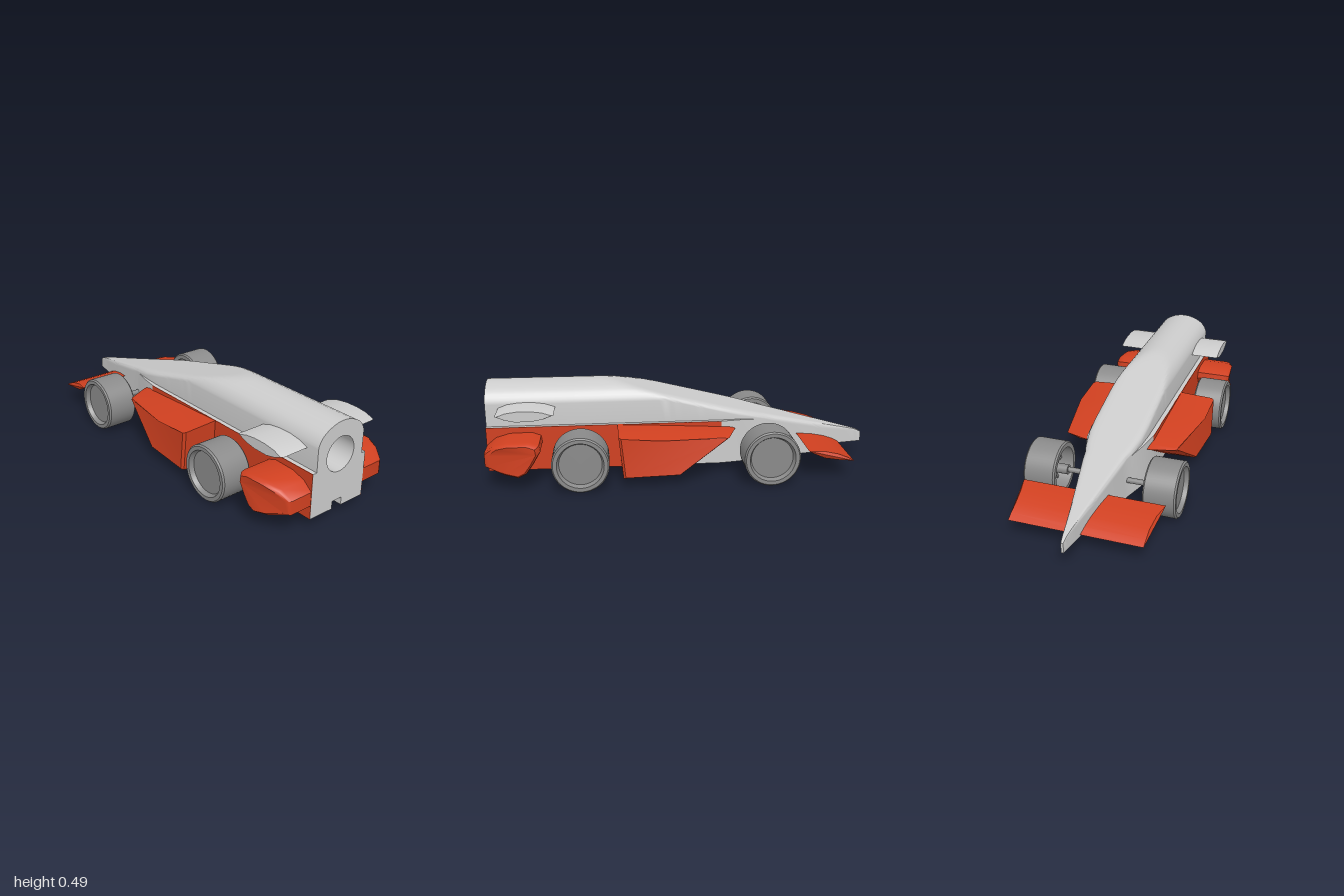
import * as THREE from 'three';
import { toCreasedNormals } from 'three/addons/utils/BufferGeometryUtils.js';

const grey = new THREE.MeshStandardMaterial({ color: 0xcccccc });
const dark = new THREE.MeshStandardMaterial({ color: 0x8a8a8a });
const red = new THREE.MeshStandardMaterial({ color: 0xd04020 });
const bore = new THREE.MeshStandardMaterial({ color: 0xcccccc, side: THREE.DoubleSide });

// Skin a row of rings that share one point count; fan caps close the ends.
function loft(rings, crease = 0.5, capEnd = true) {
  const n = rings[0].length, last = (rings.length - 1) * n, idx = [];
  for (let i = 0; i < rings.length - 1; i++) {
    for (let j = 0; j < n; j++) {
      const a = i * n + j, b = i * n + (j + 1) % n;
      idx.push(a, b, b + n, a, b + n, a + n);
    }
  }
  for (let j = 1; j < n - 1; j++) {
    idx.push(0, j + 1, j);
    if (capEnd) idx.push(last, last + j, last + j + 1);
  }
  const g = new THREE.BufferGeometry();
  g.setAttribute('position', new THREE.Float32BufferAttribute(rings.flat(2), 3));
  g.setIndex(idx);
  return toCreasedNormals(g, crease);
}

// Mirror rings across the centre plane, keeping the faces outward.
const onSide = (rings, s) => s > 0 ? rings
  : rings.map(r => r.map(([x, y, z]) => [x, y, -z])).reverse();

// Linear interpolation through [x, value] pairs.
function along(x, table) {
  for (let i = 1; i < table.length; i++) {
    const [x0, a] = table[i - 1], [x1, b] = table[i];
    if (x <= x1) return a + (b - a) * (x - x0) / (x1 - x0);
  }
  return table[table.length - 1][1];
}

const UPPER = [[-1, 0.006], [-0.9, 0.023], [-0.5, 0.1], [-0.44, 0.108], [-0.4, 0.121], [-0.3, 0.14], [-0.2, 0.145], [1, 0.145]];
const LOWER = [[-1, 0.006], [-0.9, 0.023], [-0.5, 0.1], [-0.44, 0.108], [-0.4, 0.121], [-0.3, 0.152], [-0.2, 0.168], [1, 0.168]];
const FLOOR = [[-1, 0.09], [-0.79, 0.09], [-0.74, 0.078], [-0.71, 0.05], [1, 0.05]];

// Body cross-section: grooved floor, side ledge and an arched roof cut by the sloping deck.
function bodyRing(x) {
  const wu = along(x, UPPER), wl = along(x, LOWER), yb = along(x, FLOOR);
  const deck = 0.165 + 0.246 * (x + 0.95) - 4 * Math.max(0, -0.95 - x) ** 2;
  const groove = Math.min(0.03, wl * 0.5), gy = Math.max(yb, 0.09);
  const fillet = Math.min(0.025, (deck - yb) * 0.4, wu * 0.6);
  const roof = u => {
    const arch = 0.49 - 0.183 + Math.sqrt(0.183 ** 2 - (wu * u) ** 2);
    const h = Math.max(0, 1 - Math.abs(arch - deck) / 0.015);
    const e = Math.max(0, (u - 0.75) / 0.25);
    return Math.min(arch, deck) - h * h * 0.00375 - fillet * (1 - Math.sqrt(1 - e * e));
  };
  const ledge = Math.min(0.28, roof(1) - 0.005);
  const half = [[0, gy], [groove, gy], [groove, yb], [wl, yb], [wl, ledge], [wu, ledge]];
  for (const u of [1, 0.99, 0.96, 0.91, 0.84, 0.75, 0.6, 0.4, 0.2, 0]) half.push([wu * u, roof(u)]);
  const right = half.map(([z, y]) => [x, y, -z]);
  const left = half.slice(1, -1).reverse().map(([z, y]) => [x, y, z]);
  return [...right, ...left];
}

// Shrink a side outline towards its middle and give each corner a depth.
function layer(outline, inset, depth) {
  const cx = outline.reduce((t, p) => t + p[0], 0) / outline.length;
  const cy = outline.reduce((t, p) => t + p[1], 0) / outline.length;
  return outline.map(([x, y]) => [cx + (x - cx) * (1 - inset), cy + (y - cy) * (1 - inset), depth(x)]);
}

export function createModel() {
  const model = new THREE.Group();
  const add = (name, geometry, material, parent = model) => {
    const mesh = new THREE.Mesh(geometry, material);
    mesh.name = name;
    parent.add(mesh);
    return mesh;
  };

  // Body shell, from nose to tail
  const xs = [-1, -0.985, -0.97, -0.95, -0.9, -0.79, -0.765, -0.74, -0.725, -0.71, -0.5, -0.44, -0.4, -0.3, -0.2];
  for (let x = -0.15; x < 0.5; x += 0.03) xs.push(x);
  xs.push(0.55, 1);
  add('body', loft(xs.map(bodyRing), 0.5, false), grey);

  // Tail face with a round bore
  const tail = new THREE.Shape(bodyRing(1).map(([, y, z]) => new THREE.Vector2(-z, y)));
  tail.holes.push(new THREE.Path().absarc(0, 0.325, 0.087, 0, Math.PI * 2, true));
  add('tailFace', new THREE.ShapeGeometry(tail, 24).rotateY(Math.PI / 2).translate(1, 0, 0), grey);
  add('boreWall', new THREE.CylinderGeometry(0.087, 0.087, 0.5, 48, 1, true).rotateZ(Math.PI / 2).translate(0.75, 0.325, 0), bore);
  add('boreEnd', new THREE.CircleGeometry(0.087, 48).rotateY(Math.PI / 2).translate(0.5, 0.325, 0), grey);

  // Front wing: a curved blade with flared trailing tips
  const blade = [[-0.865, 0.1], [-0.78, 0.108], [-0.71, 0.122], [-0.66, 0.146], [-0.62, 0.17], [-0.7, 0.16], [-0.78, 0.14], [-0.83, 0.12]];
  const flare = x => 0.33 + 0.03 * Math.max(0, (x + 0.8) / 0.18) ** 2;
  add('frontWing', loft([-1, 1].map(s => blade.map(([x, y]) => [x, y, s * flare(x)])), 0.7), red);

  // Rear wing: a lens section with softened tips
  const lens = [[0.65, 0.377], [0.7, 0.357], [0.76, 0.347], [0.84, 0.347], [0.89, 0.358], [0.935, 0.377], [0.89, 0.394], [0.83, 0.402], [0.76, 0.402], [0.7, 0.394]];
  add('rearWing', loft([
    layer(lens, 0.06, () => -0.296), layer(lens, 0, () => -0.288),
    layer(lens, 0, () => 0.288), layer(lens, 0.06, () => 0.296),
  ], 0.5), grey);

  // Side outlines of the pods
  const podInner = [[-0.27, 0.24], [0.03, 0.05], [0.32, 0.05], [0.338, 0.279], [0.1, 0.268], [-0.23, 0.25]];
  const podOuter = [[-0.225, 0.232], [0.03, 0.055], [0.315, 0.055], [0.336, 0.27], [0.13, 0.253], [-0.21, 0.238]];
  const podDepth = x => along(x, [[-0.3, 0.295], [-0.21, 0.3], [0.13, 0.36], [0.34, 0.36]]);
  const tailPod = [[0.72, 0.2], [0.755, 0.14], [0.79, 0.09], [0.83, 0.07], [0.9, 0.085], [0.998, 0.12], [0.998, 0.19], [0.95, 0.23], [0.88, 0.25], [0.77, 0.252], [0.725, 0.235]];
  const taper = (z, k) => x => z - k * Math.max(0, (x - 0.72) / 0.28) ** 3;

  // Painted flank panel
  const flank = [[-0.2, 0.2], [0.04, 0.05], [1, 0.05], [1, 0.28], [-0.2, 0.28]];

  for (const s of [1, -1]) {
    const side = s > 0 ? 'left' : 'right';
    add(side + 'FlankPanel', loft(onSide([
      flank.map(([x, y]) => [x, y, 0.166]), flank.map(([x, y]) => [x, y, 0.1695])], s)), red);
    add(side + 'SidePod', loft(onSide([
      layer(podInner, 0, () => 0.14),
      layer(podInner, 0, () => 0.175),
      layer(podOuter, 0, x => podDepth(x) - 0.012),
      layer(podOuter, 0.045, podDepth),
    ], s), 0.45), red);
    add(side + 'TailPod', loft(onSide([
      layer(tailPod, 0, () => 0.15),
      layer(tailPod, 0, taper(0.32, 0.035)),
      layer(tailPod, 0.05, taper(0.343, 0.045)),
      layer(tailPod, 0.16, taper(0.358, 0.05)),
    ], s), 0.6), red);
  }

  // Wheels: shallow dish outside, deep dish with hub and spokes inside
  const rim = [[0, 0.12], [0.105, 0.12], [0.112, 0], [0.135, 0], [0.142, 0.008], [0.142, 0.157],
    [0.135, 0.165], [0.116, 0.165], [0.106, 0.142], [0, 0.142]].map(p => new THREE.Vector2(...p));
  const tyre = toCreasedNormals(new THREE.LatheGeometry(rim, 56), 0.5);
  const hub = new THREE.CylinderGeometry(0.025, 0.025, 0.14, 24);
  const spoke = new THREE.BoxGeometry(0.09, 0.06, 0.014);
  for (const [end, x] of [['front', -0.43], ['rear', 0.525]]) {
    const axle = add(end + 'Axle', new THREE.CylinderGeometry(0.014, 0.014, 0.5, 20).rotateX(Math.PI / 2), dark);
    axle.position.set(x, 0.145, 0);
    for (const s of [1, -1]) {
      const wheel = new THREE.Group();
      wheel.name = end + (s > 0 ? 'Left' : 'Right') + 'Wheel';
      wheel.position.set(x, 0.144, s * 0.225);
      wheel.rotation.x = s * Math.PI / 2;
      model.add(wheel);
      add('tyre', tyre, dark, wheel);
      add('hub', hub, dark, wheel).position.y = 0.05;
      for (let i = 0; i < 6; i++) {
        const a = i * Math.PI / 3, m = add('spoke', spoke, dark, wheel);
        m.position.set(Math.cos(a) * 0.063, 0.095, -Math.sin(a) * 0.063);
        m.rotation.y = a;
      }
    }
  }
  return model;
}
